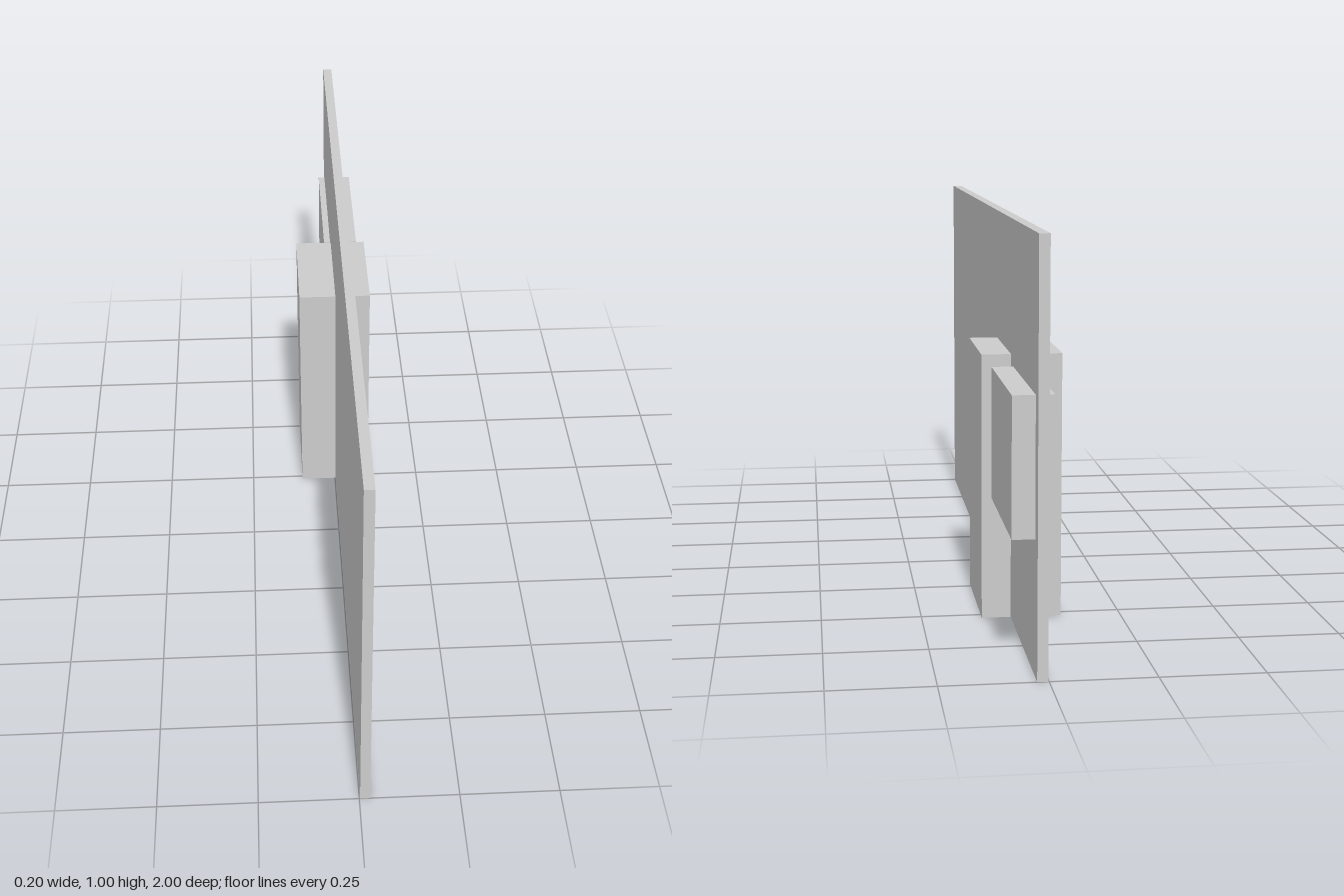
import * as THREE from 'three';

export function createModel() {
  const group = new THREE.Group();
  const material = new THREE.MeshStandardMaterial({ color: 0xcccccc, flatShading: true });

  // Box given by its extents along each axis
  function addBox(name, [x0, x1], [y0, y1], [z0, z1]) {
    const mesh = new THREE.Mesh(new THREE.BoxGeometry(x1 - x0, y1 - y0, z1 - z0), material);
    mesh.position.set((x0 + x1) / 2, (y0 + y1) / 2, (z0 + z1) / 2);
    mesh.name = name;
    group.add(mesh);
  }

  // Thin upright wall running front to back
  addBox('wall', [0.002, 0.027], [0, 1], [-1, 1]);
  // Door block passing through the wall
  addBox('door', [-0.1, 0.1], [0, 0.668], [-0.527, -0.237]);
  // Window block, standing out further on the left side
  addBox('window', [-0.016, 0.08], [0.318, 0.644], [-0.96, -0.569]);

  return group;
}
